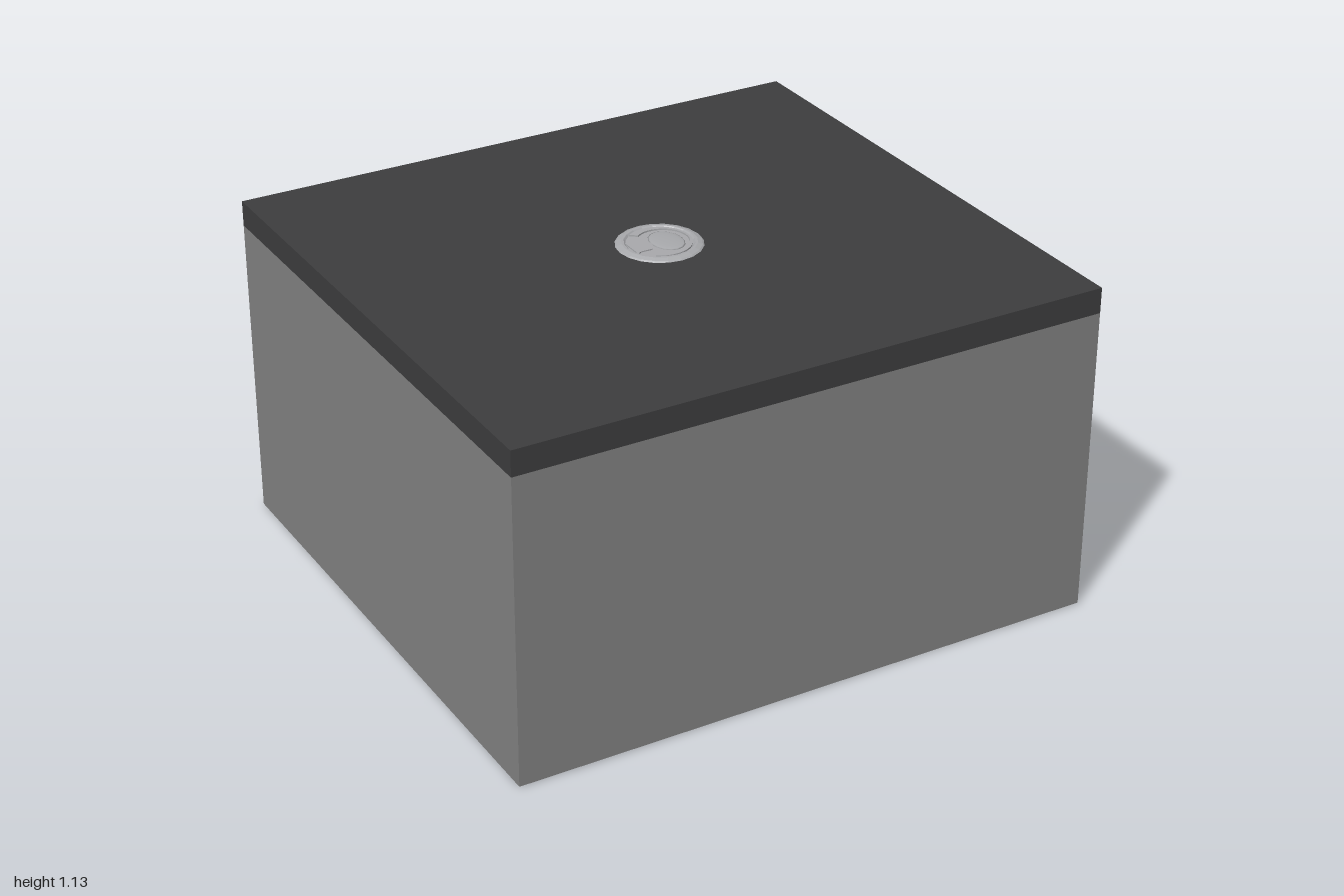
import * as THREE from 'three';

const material = (color, flat = false) => new THREE.MeshStandardMaterial({ color, flatShading: flat });

export function createModel() {
  const model = new THREE.Group();
  const grey = material(0x828282);
  const dark = material(0x3d3d3e);
  const brown = material(0x4a3a2b);
  const metal = material(0xa8a9ac, true);

  const add = (name, geometry, mat, x, y, z, parent = model) => {
    const mesh = new THREE.Mesh(geometry, mat);
    mesh.name = name;
    mesh.position.set(x, y, z);
    parent.add(mesh);
    return mesh;
  };
  // Box given by its size and the height of its underside
  const box = (name, mat, w, h, d, x, y, z) =>
    add(name, new THREE.BoxGeometry(w, h, d), mat, x, y + h / 2, z);

  // Body and lid slab
  box('body', grey, 2, 1.032, 1.86, 0, 0.003, 0);
  box('lid', dark, 2, 0.085, 1.86, 0, 1.035, 0);

  // Underside boards, separated by narrow gaps
  const thick = 0.003;
  for (const s of [-1, 1]) {
    box('sideBoard', brown, 0.12, thick, 1.84, s * 0.93, 0, 0);
    box('endBoard', brown, 1.73, thick, 0.115, 0, 0, s * 0.8625);
  }
  box('centreBoard', brown, 1.73, thick, 1.6, 0, 0, 0);

  // Round metal fitting in the middle of the lid
  const fitting = new THREE.Group();
  fitting.name = 'lidFitting';
  fitting.position.y = 1.12;
  model.add(fitting);

  const rim = [[0.14, 0], [0.135, 0.004], [0.12, 0.009], [0.112, 0.009], [0.106, 0.003], [0, 0.003]]
    .map(([r, y]) => new THREE.Vector2(r, y));
  add('rimPlate', new THREE.LatheGeometry(rim, 20), metal, 0, 0, 0, fitting);

  // Flat relief drawn in plan and raised upward
  const relief = (name, shape, y, depth) => {
    const geometry = new THREE.ExtrudeGeometry(shape, { depth, bevelEnabled: false, curveSegments: 12 });
    geometry.rotateX(-Math.PI / 2);
    return add(name, geometry, metal, 0, y, 0, fitting);
  };

  // Open collar with its gap toward the tab
  const collar = new THREE.Shape();
  collar.absarc(0, 0, 0.104, -2.2, 2.2, false);
  collar.absarc(0.012, 0, 0.084, 2.2, -2.2, true);
  collar.closePath();
  relief('collar', collar, 0.003, 0.005);

  // Short flared tab
  const tab = new THREE.Shape([[-0.1, -0.045], [-0.085, -0.035], [-0.045, -0.035], [-0.025, 0],
    [-0.045, 0.035], [-0.085, 0.035], [-0.1, 0.045]].map(([x, y]) => new THREE.Vector2(x, y)));
  relief('tab', tab, 0.003, 0.004);

  // Shallow domed button
  const button = add('button', new THREE.SphereGeometry(0.06, 16, 4, 0, Math.PI * 2, 0, Math.PI / 2),
    material(0xa8a9ac), 0.025, 0.003, 0, fitting);
  button.scale.set(0.9, 0.08, 1.2);

  return model;
}
